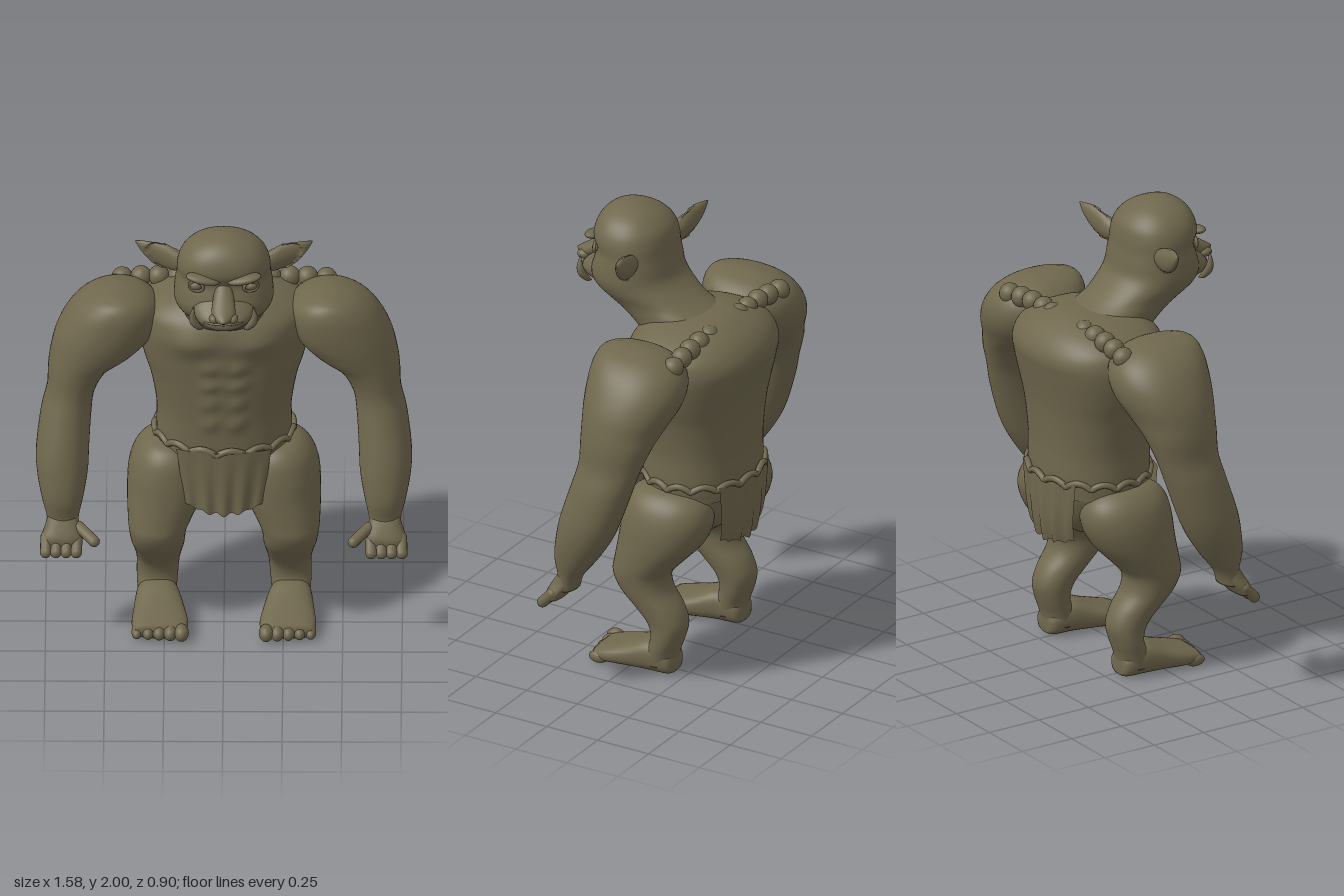
import * as THREE from 'three';

const skin = new THREE.MeshStandardMaterial({ color: 0x6f674d, side: THREE.DoubleSide });
skin.name = 'olive clay';

const catmull = (a, b, c, d, t) =>
  b + 0.5 * t * (c - a + t * (2 * a - 5 * b + 4 * c - d + t * (3 * (b - c) + d - a)));

// Smooth loft along an axis. Each row is [t, a0, a1, b0, b1]: position and the
// section's bounds. Axis y: a = x, b = z. Axis x: a = z, b = y. Axis z: a = y, b = x.
function loft(rows, { axis = 'y', seg = 32, sub = 4, power = 2, rule } = {}) {
  const rings = [];
  const at = i => rows[Math.max(0, Math.min(rows.length - 1, i))];
  for (let i = 0; i < rows.length - 1; i++) {
    for (let s = 0; s < sub; s++) {
      rings.push(rows[i].map((v, k) => catmull(at(i - 1)[k], v, at(i + 1)[k], at(i + 2)[k], s / sub)));
    }
  }
  rings.push(rows[rows.length - 1]);
  const pos = [], idx = [];
  const put = (t, a, b) => {
    const p = axis === 'y' ? [a, t, b] : axis === 'x' ? [t, b, a] : [b, a, t];
    const v = new THREE.Vector3(...p);
    if (rule) rule(v);
    pos.push(v.x, v.y, v.z);
  };
  const round = v => Math.sign(v) * Math.abs(v) ** (2 / power);
  for (const [t, a0, a1, b0, b1] of rings) {
    for (let j = 0; j < seg; j++) {
      const q = j / seg * Math.PI * 2;
      put(t, (a0 + a1) / 2 + (a1 - a0) / 2 * round(Math.cos(q)), (b0 + b1) / 2 + (b1 - b0) / 2 * round(Math.sin(q)));
    }
  }
  const n = rings.length;
  for (let i = 0; i < n - 1; i++) {
    for (let j = 0; j < seg; j++) {
      const a = i * seg + j, b = i * seg + (j + 1) % seg;
      idx.push(a, a + seg, b, b, a + seg, b + seg);
    }
  }
  for (const i of [0, n - 1]) {
    const [t, a0, a1, b0, b1] = rings[i], c = pos.length / 3;
    put(t, (a0 + a1) / 2, (b0 + b1) / 2);
    for (let j = 0; j < seg; j++) {
      const a = i * seg + j, b = i * seg + (j + 1) % seg;
      if (i) idx.push(c, b, a); else idx.push(c, a, b);
    }
  }
  const g = new THREE.BufferGeometry();
  g.setAttribute('position', new THREE.Float32BufferAttribute(pos, 3));
  g.setIndex(idx);
  g.computeVertexNormals();
  return g;
}

const ball = (x, y, z, rx, ry = rx, rz = rx, tilt = 0) =>
  new THREE.SphereGeometry(1, 20, 14).scale(rx, ry, rz).rotateZ(tilt).translate(x, y, z);

// Rounded finger-like rod between two points
function rod(p, q, r) {
  const a = new THREE.Vector3(...p), b = new THREE.Vector3(...q), d = b.clone().sub(a);
  const turn = new THREE.Quaternion().setFromUnitVectors(new THREE.Vector3(0, 1, 0), d.clone().normalize());
  const c = a.add(b).multiplyScalar(0.5);
  return new THREE.CapsuleGeometry(r, d.length(), 5, 12).applyQuaternion(turn).translate(c.x, c.y, c.z);
}

function mirrored(g) {
  const m = g.clone().scale(-1, 1, 1), k = m.index.array;
  for (let i = 0; i < k.length; i += 3) [k[i], k[i + 1]] = [k[i + 1], k[i]];
  return m;
}

// Hanging cloth that follows the hips, with pleats and a pointed hem
function cloth(front) {
  const g = new THREE.PlaneGeometry(2, 1, 40, 8), p = g.attributes.position;
  for (let i = 0; i < p.count; i++) {
    const u = p.getX(i), drop = 0.5 - p.getY(i), x = u * (0.2 - 0.035 * drop);
    const hem = 0.565 + 0.04 * u * u + 0.012 * Math.sin(u * 9) ** 2;
    const bulge = 0.04 * (1 - u * u) + 0.008 * Math.cos(u * 14) * drop;
    p.setXYZ(i, x, 0.87 + (hem - 0.87) * drop, front ? 0.05 + bulge : -0.365 - bulge + 0.02 * drop ** 4);
  }
  if (!front) g.index.array.reverse();
  g.computeVertexNormals();
  return g;
}

export function createModel() {
  const model = new THREE.Group();
  model.name = 'creature';
  const add = (name, g) => {
    const m = new THREE.Mesh(g, skin);
    m.name = name;
    model.add(m);
  };
  const pair = (name, g) => { add(name + 'Left', g); add(name + 'Right', mirrored(g)); };

  // Torso with chest and stomach muscles raised on the front
  const bumps = [[0.14, 1.4, 0.1, 0.06, 0.025]];
  for (const y of [1.0, 1.1, 1.19, 1.28]) bumps.push([0.055, y, 0.035, 0.032, 0.018]);
  const muscles = v => {
    if (v.z < -0.05) return;
    for (const [x, y, w, h, d] of bumps) {
      v.z += d * Math.exp(-(((Math.abs(v.x) - x) / w) ** 2) - ((v.y - y) / h) ** 2);
    }
  };
  const body = ([y, w, z0, z1]) => [y, -w, w, z0, z1];
  add('torso', loft([
    [0.58, 0.08, -0.24, -0.06], [0.66, 0.2, -0.33, 0.02], [0.78, 0.27, -0.38, 0.05], [0.87, 0.285, -0.39, 0.06],
    [1, 0.285, -0.39, 0.065], [1.15, 0.31, -0.4, 0.08], [1.25, 0.34, -0.415, 0.09], [1.35, 0.36, -0.435, 0.1],
    [1.42, 0.36, -0.445, 0.105], [1.48, 0.34, -0.42, 0.095], [1.53, 0.27, -0.37, 0.06], [1.57, 0.15, -0.29, 0.02],
    [1.58, 0.02, -0.2, -0.05]].map(body), { seg: 72, sub: 6, power: 2.3, rule: muscles }));

  // Neck and skull
  add('headAndNeck', loft([
    [1.42, 0.2, -0.3, 0.04], [1.5, 0.178, -0.26, 0.13], [1.56, 0.176, -0.22, 0.21], [1.6, 0.18, -0.15, 0.27],
    [1.65, 0.2, -0.08, 0.325], [1.7, 0.21, -0.035, 0.34], [1.76, 0.206, -0.02, 0.325], [1.81, 0.198, -0.01, 0.31],
    [1.86, 0.195, -0.005, 0.33], [1.91, 0.177, 0.01, 0.325], [1.955, 0.137, 0.05, 0.3], [1.985, 0.08, 0.105, 0.26],
    [1.998, 0.03, 0.155, 0.215], [2, 0.002, 0.184, 0.188]].map(body), { seg: 48, power: 2.2 }));

  // Face
  const snout = ([z, y0, y1, w]) => [z, y0, y1, -w, w];
  add('muzzle', loft([[0.2, 1.6, 1.78, 0.14], [0.3, 1.615, 1.77, 0.135], [0.355, 1.63, 1.73, 0.105],
    [0.39, 1.645, 1.7, 0.065], [0.4, 1.66, 1.68, 0.02]].map(snout), { axis: 'z' }));
  add('nose', loft([[0.26, 1.73, 1.86, 0.035], [0.33, 1.71, 1.805, 0.045], [0.39, 1.69, 1.76, 0.05],
    [0.425, 1.695, 1.738, 0.032], [0.45, 1.71, 1.72, 0.006]].map(snout), { axis: 'z' }));
  add('upperLip', ball(0, 1.679, 0.365, 0.09, 0.011, 0.042));
  add('lowerLip', ball(0, 1.65, 0.355, 0.085, 0.012, 0.04));
  pair('nostril', ball(0.04, 1.71, 0.4, 0.022, 0.02, 0.028));
  pair('brow', ball(0.085, 1.85, 0.308, 0.075, 0.02, 0.04, 0.2));
  pair('eye', ball(0.115, 1.805, 0.285, 0.027, 0.02, 0.022));
  pair('eyelid', new THREE.TorusGeometry(0.031, 0.007, 8, 24).scale(1, 0.72, 1).rotateY(0.35).translate(0.115, 1.805, 0.296));
  pair('tusk', loft([[1.63, 0.085, 0.115, 0.325, 0.36], [1.66, 0.1, 0.14, 0.335, 0.375],
    [1.7, 0.118, 0.144, 0.348, 0.376], [1.745, 0.122, 0.126, 0.362, 0.366]], { seg: 12 }));
  for (const x of [0.022, 0.055]) {
    pair('tooth', new THREE.ConeGeometry(0.01, 0.03, 8).translate(x, 1.665, 0.39 - x * 0.4));
  }
  // Cupped, pointed ears
  pair('ear', loft([[0.15, 0.06, 0.11, 1.77, 1.83], [0.2, 0.045, 0.115, 1.755, 1.855], [0.25, 0.04, 0.105, 1.76, 1.875],
    [0.3, 0.035, 0.085, 1.785, 1.882], [0.345, 0.033, 0.06, 1.83, 1.882], [0.372, 0.036, 0.042, 1.872, 1.88]],
  { axis: 'x', seg: 24, rule: v => { if (v.z > 0.07) v.z -= 0.02 * Math.sin(Math.PI * Math.min(1, Math.max(0, (v.x - 0.18) / 0.19))); } }));

  // Arms from wrist to shoulder
  pair('arm', loft([
    [0.5, 0.61, 0.745, 0.045, 0.135], [0.56, 0.61, 0.745, 0.025, 0.125], [0.65, 0.59, 0.768, -0.045, 0.14],
    [0.75, 0.572, 0.787, -0.11, 0.13], [0.85, 0.567, 0.79, -0.155, 0.11], [1, 0.557, 0.77, -0.205, 0.067],
    [1.1, 0.54, 0.745, -0.235, 0.045], [1.2, 0.48, 0.74, -0.27, 0.05], [1.27, 0.38, 0.73, -0.295, 0.065],
    [1.35, 0.3, 0.71, -0.33, 0.08], [1.43, 0.27, 0.672, -0.34, 0.085], [1.5, 0.28, 0.62, -0.31, 0.08],
    [1.55, 0.335, 0.55, -0.24, 0.055], [1.572, 0.41, 0.47, -0.15, 0]], { power: 2.15, seg: 40 }));
  // Hands
  pair('palm', loft([[0.455, 0.61, 0.765, 0.1, 0.165], [0.49, 0.595, 0.765, 0.075, 0.165],
    [0.53, 0.605, 0.75, 0.05, 0.145], [0.57, 0.62, 0.74, 0.05, 0.12]], { power: 2.6 }));
  for (let i = 0; i < 4; i++) {
    const x = 0.618 + i * 0.043;
    pair('finger', rod([x, 0.485, 0.125], [x + 0.002, 0.435, 0.172], 0.024));
  }
  pair('thumb', rod([0.61, 0.525, 0.11], [0.545, 0.497, 0.185], 0.024));

  // Legs from ankle to hip
  pair('leg', loft([
    [0.04, 0.2, 0.36, -0.2, -0.05], [0.1, 0.198, 0.365, -0.21, -0.07], [0.16, 0.193, 0.368, -0.23, -0.095],
    [0.23, 0.186, 0.368, -0.245, -0.075], [0.3, 0.175, 0.377, -0.22, -0.01], [0.37, 0.165, 0.39, -0.17, 0.055],
    [0.44, 0.158, 0.4, -0.16, 0.088], [0.5, 0.13, 0.405, -0.205, 0.085], [0.6, 0.08, 0.408, -0.295, 0.075],
    [0.7, 0.07, 0.402, -0.335, 0.065], [0.78, 0.09, 0.375, -0.32, 0.045], [0.83, 0.14, 0.325, -0.26, 0],
    [0.845, 0.2, 0.27, -0.18, -0.08]], { power: 2.15, seg: 40 }));
  // Feet and toes
  pair('foot', loft([[-0.205, 0.015, 0.07, 0.24, 0.32], [-0.185, 0.002, 0.11, 0.21, 0.35], [-0.1, 0.001, 0.15, 0.19, 0.368],
    [0, 0.001, 0.115, 0.165, 0.38], [0.09, 0.001, 0.085, 0.15, 0.388], [0.155, 0.008, 0.065, 0.165, 0.375]],
  { axis: 'z', power: 2.5 }));
  for (let i = 0; i < 5; i++) {
    const r = 0.036 - i * 0.0025;
    pair('toe', ball(0.178 + i * 0.047, r, 0.155 - i * 0.006, r * 0.86, r, 0.044));
  }

  // Loincloth and scalloped belt
  add('frontCloth', cloth(true));
  add('backCloth', cloth(false));
  const beltPoints = [];
  for (let i = 0; i < 120; i++) {
    const q = i / 120 * Math.PI * 2;
    beltPoints.push(new THREE.Vector3(0.293 * Math.cos(q), 0.854 + 0.022 * Math.abs(Math.sin(q * 7.5)), -0.165 + 0.245 * Math.sin(q)));
  }
  add('belt', new THREE.TubeGeometry(new THREE.CatmullRomCurve3(beltPoints, true), 240, 0.014, 8, true));
  add('hipBand', new THREE.CylinderGeometry(1, 0.985, 0.07, 48, 1, true).scale(0.293, 1, 0.24).translate(0, 0.83, -0.165));

  // Beads along the shoulders
  for (const [x, y, z] of [[0.12, 1.53, -0.265], [0.195, 1.53, -0.262], [0.275, 1.53, -0.265], [0.35, 1.525, -0.27], [0.43, 1.515, -0.277]]) {
    pair('shoulderBead', ball(x, y, z, 0.045));
  }
  return model;
}
